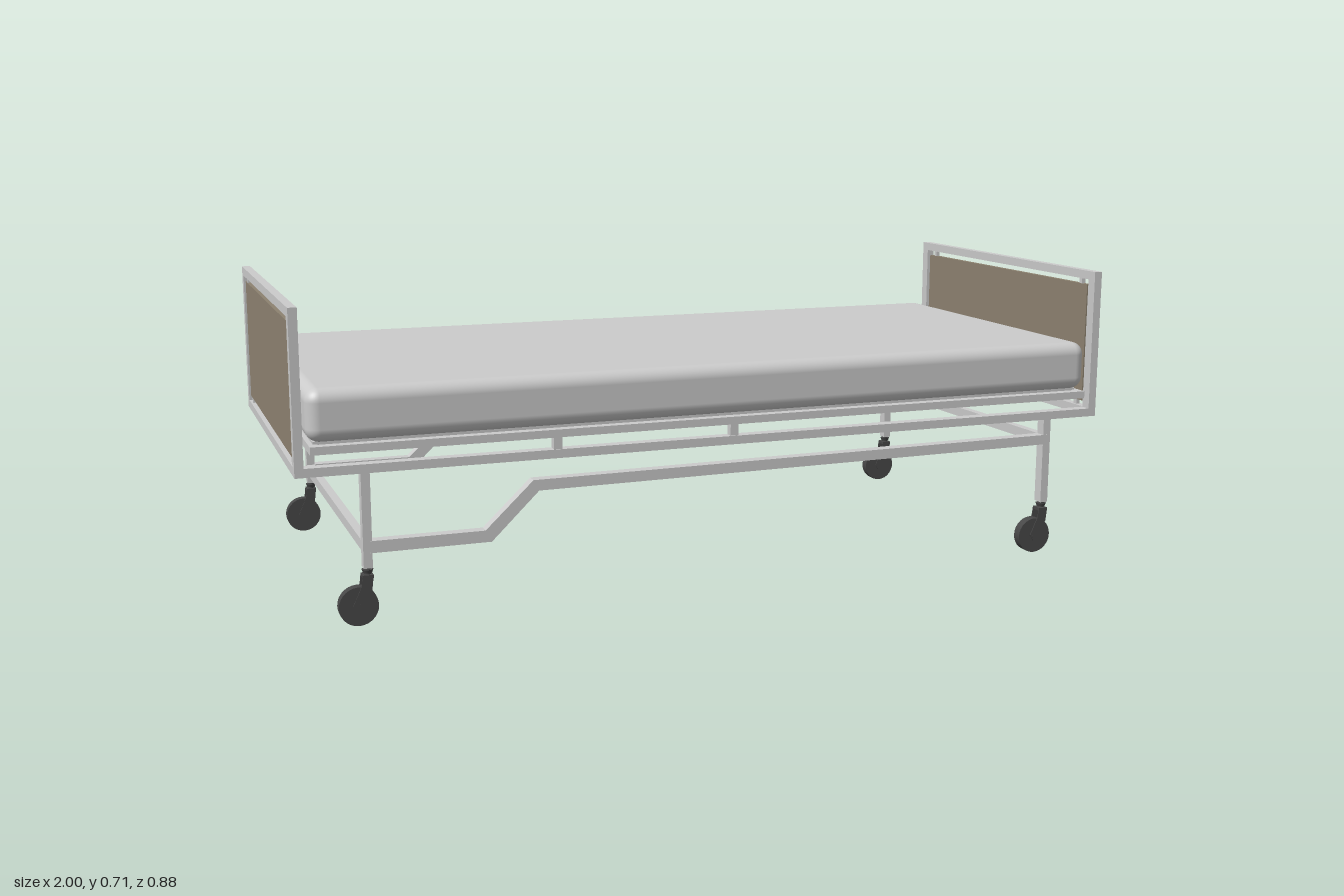
import * as THREE from 'three';
import { RoundedBoxGeometry } from 'three/addons/geometries/RoundedBoxGeometry.js';

const grey = new THREE.MeshStandardMaterial({ color: 0xcccccc });
const brown = new THREE.MeshStandardMaterial({ color: 0x8d8270 });
const dark = new THREE.MeshStandardMaterial({ color: 0x484848 });

const Z_LEFT = 0.427, Z_RIGHT = -0.419, Z_MID = 0.004; // centre lines of the two sides
const TUBE = 0.027; // tube width along z
const SIDES = [Z_LEFT, Z_RIGHT];
const SAG = 0.011; // the undercarriage sits slightly lower at the back

function add(parent, name, geometry, material, x = 0, y = 0, z = 0) {
  const mesh = new THREE.Mesh(geometry, material);
  mesh.name = name;
  mesh.position.set(x, y, z);
  parent.add(mesh);
  return mesh;
}

// Box given by its limits on each axis
function bar(parent, name, x0, x1, y0, y1, z0, z1, material = grey) {
  return add(parent, name, new THREE.BoxGeometry(x1 - x0, y1 - y0, z1 - z0), material,
    (x0 + x1) / 2, (y0 + y1) / 2, (z0 + z1) / 2);
}

// Flat outline in x and y, given thickness along z and centred on z
function plate(parent, name, points, depth, material, z) {
  const shape = new THREE.Shape(points.map(([x, y]) => new THREE.Vector2(x, y)));
  const geometry = new THREE.ExtrudeGeometry(shape, { depth, bevelEnabled: false });
  return add(parent, name, geometry.translate(0, 0, -depth / 2), material, 0, 0, z);
}

// Framed end board with inset panel
function endBoard(side) {
  const g = new THREE.Group();
  g.name = side > 0 ? 'footboard' : 'headboard';
  const x = side * 0.99, h = 0.01, w = TUBE / 2;
  for (const z of SIDES) bar(g, 'endPost', x - h, x + h, 0.342, 0.708, z - w, z + w);
  for (const [y0, y1] of [[0.342, 0.363], [0.687, 0.708]])
    bar(g, 'endRail', x - h, x + h, y0, y1, Z_RIGHT + w, Z_LEFT - w);
  bar(g, 'endPanel', x - 0.006, x + 0.006, 0.376, 0.673, -0.397, 0.403, brown);
  for (const z of [0.373, -0.367])
    for (const [y0, y1] of [[0.363, 0.376], [0.673, 0.687]])
      bar(g, 'panelBracket', x - 0.005, x + 0.005, y0, y1, z - 0.006, z + 0.006);
  return g;
}

// Swivel caster trailing toward -x
function caster(x, z) {
  const g = new THREE.Group();
  g.name = 'caster';
  g.position.set(x, 0, z);
  add(g, 'casterStem', new THREE.CylinderGeometry(0.008, 0.008, 0.024, 16), dark, 0, 0.121, 0);
  add(g, 'casterCollar', new THREE.CylinderGeometry(0.013, 0.01, 0.008, 16), dark, 0, 0.121, 0);
  bar(g, 'forkBridge', -0.013, 0.011, 0.107, 0.114, -0.0135, 0.0135, dark);
  const outline = [[0.011, 0.114], [-0.013, 0.114], [-0.016, 0.09], [-0.036, 0.045],
    [-0.027, 0.031], [-0.014, 0.036], [0.007, 0.08]];
  for (const s of [-1, 1]) plate(g, 'forkPlate', outline, 0.002, dark, s * 0.013);
  const wheel = add(g, 'wheel', new THREE.CylinderGeometry(0.044, 0.044, 0.023, 28), dark, -0.023, 0.044, 0);
  wheel.rotation.x = Math.PI / 2;
  const axle = add(g, 'axle', new THREE.CylinderGeometry(0.007, 0.007, 0.0285, 12), dark, -0.023, 0.044, 0);
  axle.rotation.x = Math.PI / 2;
  return g;
}

// Tilted tube across the bed between two legs
function crossBar(parent, x, yLeft) {
  const span = Z_LEFT - Z_RIGHT;
  const mesh = add(parent, 'legCrossBar', new THREE.BoxGeometry(0.02, 0.024, Math.hypot(span, SAG)),
    grey, x, yLeft - SAG / 2, Z_MID);
  mesh.rotation.x = -Math.atan2(SAG, span);
}

export function createModel() {
  const bed = new THREE.Group();
  bed.name = 'wheeledBed';
  const w = TUBE / 2;

  // Mattress
  add(bed, 'mattress', new RoundedBoxGeometry(1.94, 0.118, 0.876, 5, 0.03), grey, 0, 0.471, -0.002);

  // Mattress platform: thin sheet with a tube rim
  bar(bed, 'platformSheet', -0.955, 0.955, 0.399, 0.413, -0.405, 0.41);
  for (const z of SIDES) bar(bed, 'platformSideRail', -0.965, 0.967, 0.389, 0.407, z - w + 0.002, z + w - 0.002);
  for (const x of [-0.955, 0.957]) bar(bed, 'platformEndRail', x - 0.01, x + 0.01, 0.389, 0.407, Z_RIGHT, Z_LEFT);

  // Main frame rails and the spacers carrying the platform
  for (const z of SIDES) {
    bar(bed, 'frameSideRail', -0.98, 0.98, 0.342, 0.362, z - w, z + w);
    for (const x of [-0.415, 0.013])
      bar(bed, 'platformSpacer', x - 0.01, x + 0.01, 0.36, 0.391, z - 0.01, z + 0.01);
  }
  bed.add(endBoard(1), endBoard(-1));

  // Legs and casters
  for (const x of [-0.85, 0.86])
    for (const z of SIDES) {
      bar(bed, 'leg', x - 0.01, x + 0.01, 0.129, 0.345, z - w, z + w);
      bed.add(caster(x, z));
    }

  // Cranked side bars between the legs
  const crank = [[-0.845, 0.163], [-0.573, 0.163], [-0.462, 0.271], [0.86, 0.279],
    [0.86, 0.303], [-0.475, 0.296], [-0.587, 0.19], [-0.845, 0.19]];
  SIDES.forEach((z, i) => {
    plate(bed, 'crankedSideBar', crank, TUBE + 0.001, grey, z).position.y = -SAG * i;
  });
  crossBar(bed, -0.85, 0.177);
  crossBar(bed, 0.86, 0.291);

  return bed;
}
